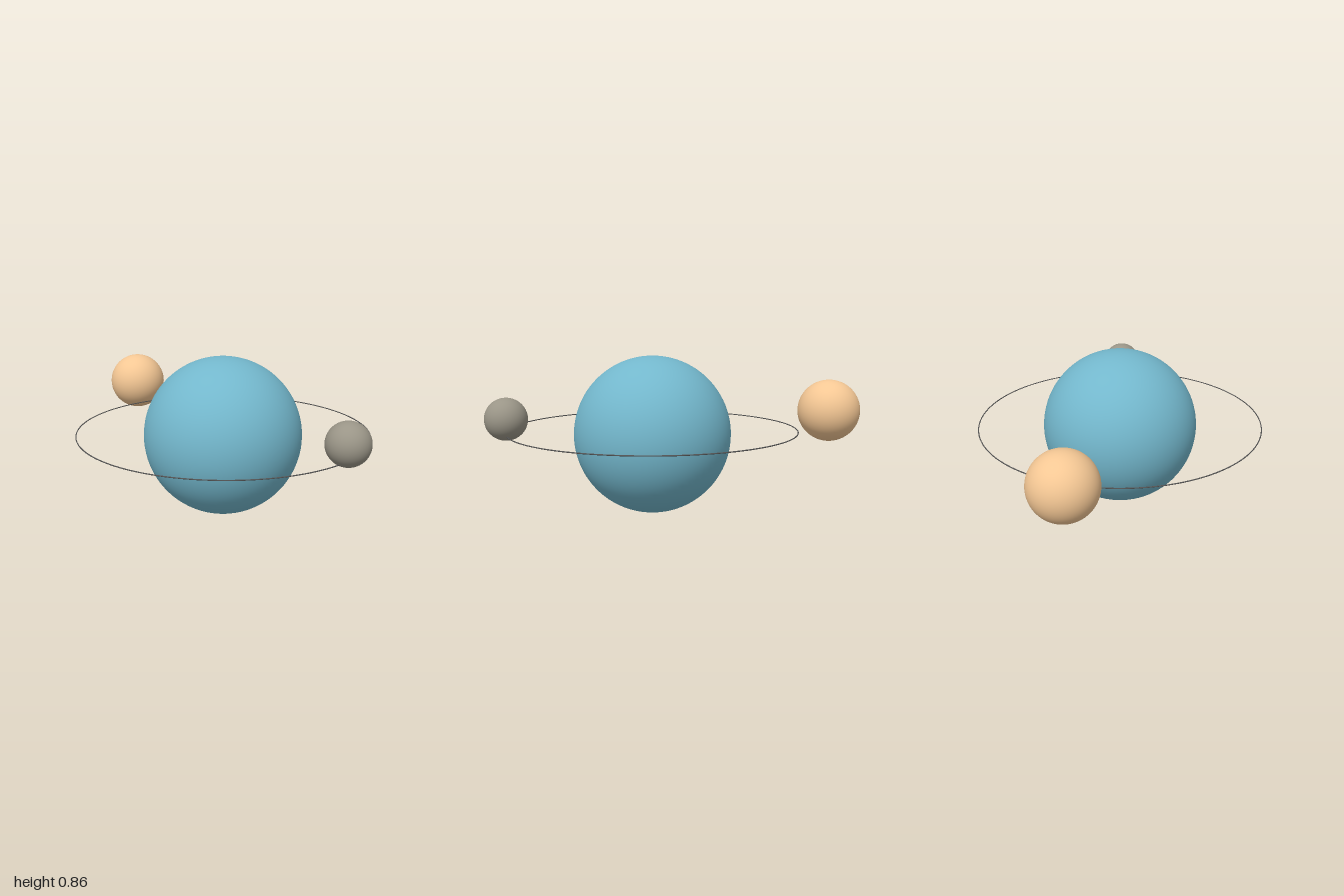
import * as THREE from 'three';

const material = (color) => new THREE.MeshStandardMaterial({ color });

function ball(name, radius, position, color) {
  const mesh = new THREE.Mesh(new THREE.SphereGeometry(radius, 64, 48), material(color));
  mesh.name = name;
  mesh.position.set(...position);
  return mesh;
}

export function createModel() {
  const model = new THREE.Group();
  model.name = 'planetWithMoons';

  // Planet and its two moons
  model.add(
    ball('planet', 0.432, [0.102, 0.432, 0], 0x73b7cc),
    ball('largeMoon', 0.17, [-0.83, 0.56, -0.295], 0xf4c794),
    ball('smallMoon', 0.112, [0.888, 0.545, 0.048], 0x9a9587)
  );

  // Thin level orbit line around the planet
  const orbit = new THREE.Mesh(new THREE.TorusGeometry(0.793, 0.003, 8, 160), material(0x555555));
  orbit.name = 'orbitRing';
  orbit.rotation.x = Math.PI / 2;
  orbit.position.set(0.102, 0.461, 0);
  model.add(orbit);

  return model;
}
